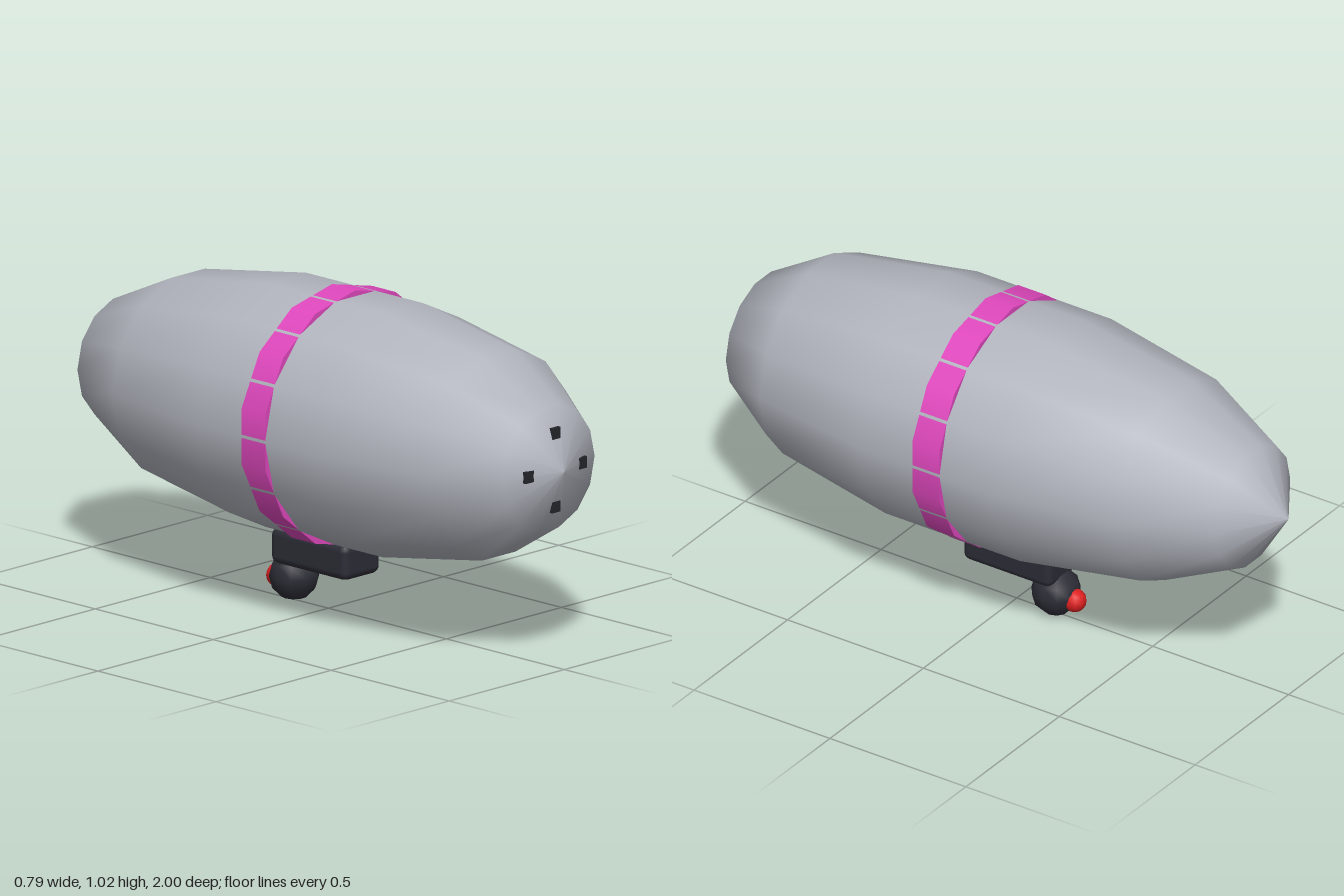
import * as THREE from 'three';
import { RoundedBoxGeometry } from 'three/addons/geometries/RoundedBoxGeometry.js';

const mat = (name, color) => {
  const m = new THREE.MeshStandardMaterial({ color });
  m.name = name;
  return m;
};

export function createModel() {
  const group = new THREE.Group();
  const grey = mat('hull grey', 0xb2b5be);
  const pink = mat('band pink', 0xe048be);
  const dark = mat('gondola dark', 0x2c2c36);
  const black = mat('port black', 0x25262b);
  const red = mat('light red', 0xdd2020);
  const CY = 0.624, SIDES = 14;

  const add = (name, geo, material, x, y, z) => {
    const mesh = new THREE.Mesh(geo, material);
    mesh.name = name;
    mesh.position.set(x, y, z);
    group.add(mesh);
    return mesh;
  };

  // Envelope: fourteen-sided lathe from tail to nose, [radius, z]
  const profile = [[0, -1], [0.198, -0.87], [0.326, -0.595], [0.3925, -0.18],
    [0.3925, 0.315], [0.326, 0.722], [0.198, 0.935], [0, 1]]
    .map(([r, z]) => new THREE.Vector2(r, z));
  const hull = new THREE.LatheGeometry(profile, SIDES, Math.PI / 2);
  hull.rotateX(Math.PI / 2);
  add('envelope', hull, grey, 0, CY, 0);

  // Band: its corners lie over the flats of the envelope
  const band = new THREE.CylinderGeometry(0.4014, 0.4014, 0.1, SIDES);
  band.rotateX(Math.PI / 2);
  add('band', band, pink, 0, CY, 0.065);

  // Four small ports around the nose
  for (let i = 0; i < 4; i++) {
    const a = i * Math.PI / 2;
    add('nosePort', new THREE.BoxGeometry(0.036, 0.036, 0.02), black,
      0.115 * Math.cos(a), CY + 0.115 * Math.sin(a), 0.957);
  }

  // Gondola, rear ball and tail light
  add('gondola', new RoundedBoxGeometry(0.16, 0.113, 0.325, 2, 0.025), dark, 0, 0.184, -0.0125);
  add('rearBall', new THREE.SphereGeometry(0.078, 10, 6), dark, 0, 0.081, -0.145);
  add('tailLight', new THREE.SphereGeometry(0.037, 10, 8), red, 0, 0.068, -0.213);

  return group;
}
